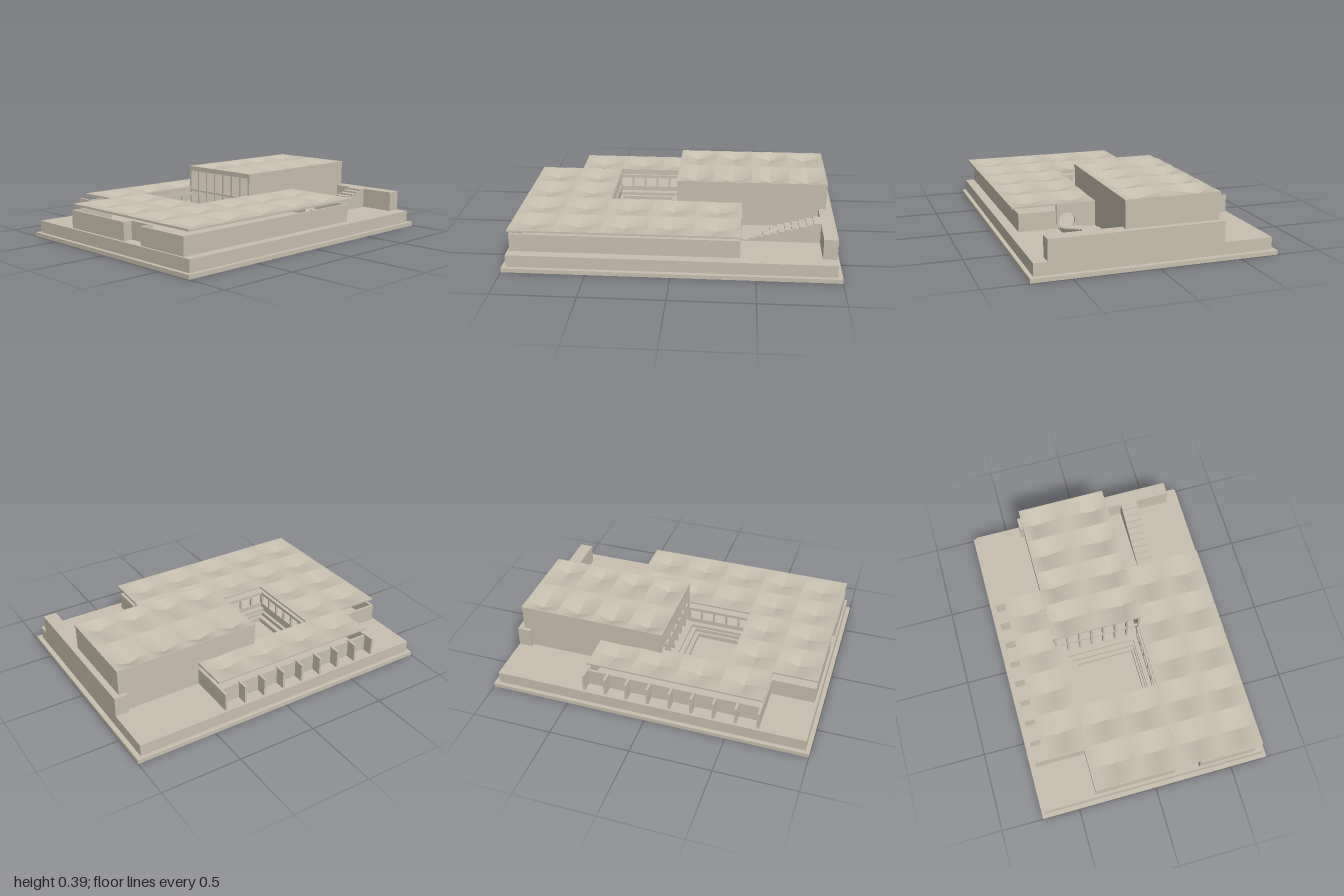
import * as THREE from 'three';
import { mergeGeometries } from 'three/addons/utils/BufferGeometryUtils.js';

const concrete = new THREE.MeshStandardMaterial({ color: 0xc8bfae });
concrete.name = 'warm concrete';
const shellConcrete = concrete;

// Axis-aligned box given by its limits
function boxGeo(x0, x1, y0, y1, z0, z1) {
  return new THREE.BoxGeometry(x1 - x0, y1 - y0, z1 - z0)
    .translate((x0 + x1) / 2, (y0 + y1) / 2, (z0 + z1) / 2);
}

function rectPath(Type, x0, x1, z0, z1) {
  const p = new Type();
  p.moveTo(x0, z0); p.lineTo(x1, z0); p.lineTo(x1, z1); p.lineTo(x0, z1); p.closePath();
  return p;
}

// Horizontal slab with a rectangular opening
function frameGeo(outer, inner, y0, y1) {
  const s = rectPath(THREE.Shape, ...outer);
  s.holes.push(rectPath(THREE.Path, ...inner));
  return new THREE.ExtrudeGeometry(s, { depth: y1 - y0, bevelEnabled: false })
    .rotateX(Math.PI / 2).translate(0, y1, 0);
}

// Wall of posts between a sill and a lintel, along x or z
function windowWallGeo(axis, at, a, b, n, y0, y1, sill, lintel, t = 0.015) {
  const piece = (p, q, lo, hi) => axis === 'x'
    ? boxGeo(p, q, lo, hi, at - t / 2, at + t / 2)
    : boxGeo(at - t / 2, at + t / 2, lo, hi, p, q);
  const parts = [piece(a, b, y1 - lintel, y1)];
  if (sill > 0) parts.push(piece(a, b, y0, y0 + sill));
  for (let i = 0; i <= n; i++) {
    const c = a + 0.006 + (b - a - 0.012) * i / n;
    parts.push(piece(c - 0.006, c + 0.006, y0 + sill, y1 - lintel));
  }
  return mergeGeometries(parts);
}

// Row of inverted hyperbolic umbrellas; knots alternate rim, low point, rim...
function umbrellaRoofGeo(xs, zs, top, depth, thick) {
  const parts = [];
  const n = 6;
  const patch = (i, j, drop, flip) => {
    const pos = [], idx = [];
    for (let a = 0; a <= n; a++) for (let b = 0; b <= n; b++) {
      const u = a / n, v = b / n;
      const wx = i % 2 ? 1 - u : u, wz = j % 2 ? 1 - v : v;
      pos.push(xs[i] + (xs[i + 1] - xs[i]) * u, top - drop - depth * wx * wz, zs[j] + (zs[j + 1] - zs[j]) * v);
      if (a < n && b < n) {
        const p = a * (n + 1) + b, q = p + 1, r = q + n + 1, s = p + n + 1;
        if (flip) idx.push(p, r, q, p, s, r); else idx.push(p, q, r, p, r, s);
      }
    }
    const g = new THREE.BufferGeometry();
    g.setAttribute('position', new THREE.Float32BufferAttribute(pos, 3));
    g.setAttribute('uv', new THREE.Float32BufferAttribute(new Array(pos.length / 3 * 2).fill(0), 2));
    g.setIndex(idx);
    g.computeVertexNormals();
    return g;
  };
  for (let i = 0; i < xs.length - 1; i++) for (let j = 0; j < zs.length - 1; j++) {
    parts.push(patch(i, j, 0, false), patch(i, j, thick, true));
  }
  // Thin rim closing the edge of the shell
  const x0 = xs[0], x1 = xs[xs.length - 1], z0 = zs[0], z1 = zs[zs.length - 1], e = 0.004;
  parts.push(
    boxGeo(x0, x0 + e, top - thick, top, z0, z1), boxGeo(x1 - e, x1, top - thick, top, z0, z1),
    boxGeo(x0, x1, top - thick, top, z0, z0 + e), boxGeo(x0, x1, top - thick, top, z1 - e, z1));
  return mergeGeometries(parts);
}

const knots = (a, b, cells) => Array.from({ length: cells * 2 + 1 }, (_, i) => a + (b - a) * i / (cells * 2));

export function createModel() {
  const model = new THREE.Group();
  model.name = 'courtyardBuilding';
  const add = (name, geo, mat = concrete) => {
    const m = new THREE.Mesh(geo, mat);
    m.name = name;
    model.add(m);
    return m;
  };
  const box = (name, ...b) => add(name, boxGeo(...b));

  // Ground slab, podium and sunken court
  const pit = [-0.42, -0.035, -0.315, 0.125];
  const well = [-0.37, -0.09, -0.27, 0.1];
  box('groundSlab', -1, 1, 0, 0.025, -0.735, 0.735);
  add('podium', frameGeo([-0.975, 0.97, -0.71, 0.71], pit, 0.025, 0.1));
  add('courtStepUpper', frameGeo(pit, [-0.40, -0.065, -0.295, 0.115], 0.025, 0.08));
  add('courtStepLower', frameGeo([-0.40, -0.065, -0.295, 0.115], well, 0.025, 0.055));

  // Outer walls of the low wings
  const lo = 0.1, hi = 0.21, t = 0.015;
  box('frontWall', -0.957, 0.405, lo, hi, 0.65 - t, 0.65);
  box('leftWallFront', -0.962, -0.947, lo, hi, 0.29, 0.65);
  box('leftWallBack', -0.957, -0.942, lo, hi, -0.38, 0.13);
  box('leftRecessWall', -0.9, -0.885, lo, hi, 0.12, 0.30);
  box('recessCheekFront', -0.95, -0.885, lo, hi, 0.29, 0.305);
  box('recessCheekBack', -0.95, -0.885, lo, hi, 0.115, 0.13);
  box('cornerWall', -0.957, -0.69, lo, hi, -0.38, -0.365);
  box('backWingLeftWall', -0.69, -0.675, lo, hi, -0.63, -0.365);
  box('backWall', -0.69, 0.405, lo, 0.205, -0.63, -0.615);
  box('backWingRightWall', 0.39, 0.405, lo, hi, -0.63, -0.385);
  box('frontWingRightWall', 0.39, 0.405, lo, hi, 0.41, 0.65);

  // Fins along the back
  for (let i = 0; i < 9; i++) {
    const x = -0.683 + i * 0.1355;
    box('backFin', x - 0.0075, x + 0.0075, lo, 0.213, -0.695, -0.62);
  }

  // Window walls around the court
  add('courtWindowsLeft', windowWallGeo('z', -0.427, -0.358, 0.158, 6, lo, 0.213, 0.03, 0.02));
  add('courtWindowsFront', windowWallGeo('x', 0.162, -0.43, 0, 5, lo, 0.213, 0.03, 0.02));
  add('courtWindowsBack', windowWallGeo('x', -0.362, -0.43, 0, 5, lo, 0.213, 0.03, 0.02));

  // Umbrella roofs of the low wings
  const c = 0.273, zs = [-0.62, -0.358, 0.166, 0.69];
  add('backWingRoof', umbrellaRoofGeo(knots(-0.96 + c, 0.405, 4), knots(zs[0], zs[1], 1), 0.253, 0.029, 0.012), shellConcrete);
  add('leftWingRoof', umbrellaRoofGeo(knots(-0.96, -0.96 + 2 * c, 2), knots(zs[1], zs[2], 2), 0.253, 0.029, 0.012), shellConcrete);
  add('frontWingRoof', umbrellaRoofGeo(knots(-0.96, 0.405, 5), knots(zs[2], zs[3], 2), 0.253, 0.029, 0.012), shellConcrete);

  // Tall hall: three solid walls and a glazed front to the court
  box('hallFrontWall', 0.003, 0.932, lo, 0.38, 0.163, 0.178);
  box('hallBackWall', 0.003, 0.932, lo, 0.38, -0.387, -0.372);
  box('hallRightWall', 0.917, 0.932, lo, 0.38, -0.387, 0.178);
  add('hallMullions', windowWallGeo('z', 0.015, -0.387, 0.178, 7, lo, 0.38, 0, 0.02, 0.025));
  box('hallTransom', 0.006, 0.022, 0.22, 0.232, -0.387, 0.178);
  add('hallRoof', umbrellaRoofGeo(knots(0, 0.935, 4), [-0.39, -0.31, -0.11, 0.09, 0.182], 0.39, 0.035, 0.014), shellConcrete);

  // Terrace wall on the right and the stair leading up to it
  box('terraceWall', 0.885, 0.97, lo, 0.225, -0.41, 0.63);
  for (let i = 0; i < 11; i++) {
    const x = 0.41 + i * 0.0432;
    box('stairStep', x, x + 0.0432, lo, 0.11 + i * 0.0115, 0.3, 0.41);
  }

  // Portal wall with a round doorway at the foot of the stair
  const portal = rectPath(THREE.Shape, 0.18, 0.42, 0.1, 0.25);
  const door = new THREE.Path();
  door.moveTo(0.325, 0.104);
  door.absarc(0.355, 0.145, 0.05, -Math.PI * 0.7, -Math.PI * 0.3, true);
  door.closePath();
  portal.holes.push(door);
  add('portalWall', new THREE.ExtrudeGeometry(portal, { depth: 0.015, bevelEnabled: false, curveSegments: 24 })
    .rotateY(-Math.PI / 2).translate(0.411, 0, 0));

  return model;
}
